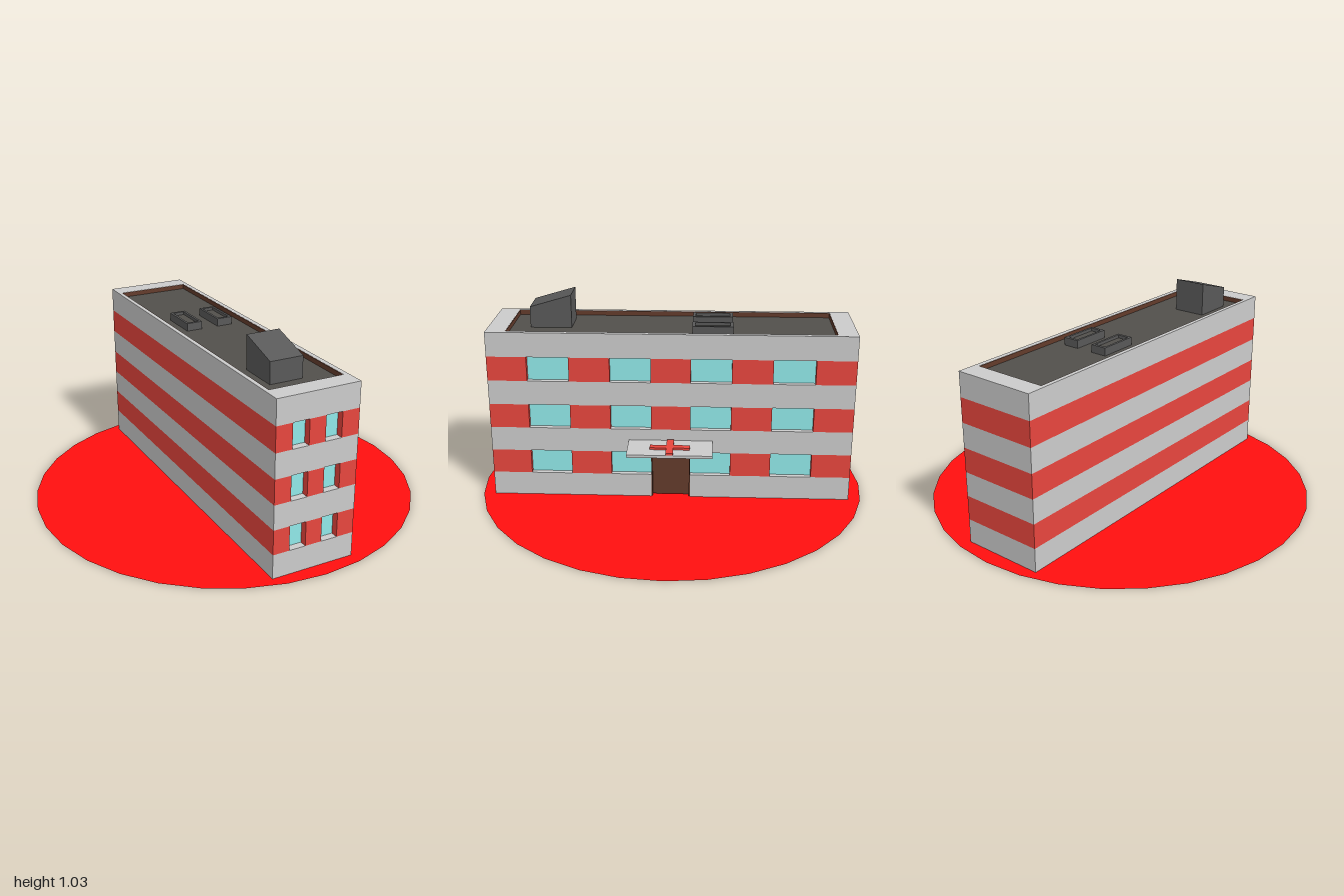
import * as THREE from 'three';

const paint = (color) => new THREE.MeshStandardMaterial({ color, flatShading: true });
const grey = paint(0xcccccc);
const red = paint(0xe8463e);
const glass = paint(0x91e9e9);
const brown = paint(0x633b2b);
const roofGrey = paint(0x52504b);
const ventGrey = paint(0x595959);
const groundRed = paint(0xff0f0f);
groundRed.side = THREE.DoubleSide;

// Outer walls, floor heights and recess depths
const X0 = -0.24, X1 = 0.19, Z = 0.92;
const BAND = 0.1264, TOP = 0.885;
const SIDE_D = 0.03, FRONT_D = 0.04;
const ROOF_Y = 0.86;

export function createModel() {
  const model = new THREE.Group();

  function add(name, geometry, material, parent = model) {
    const mesh = new THREE.Mesh(geometry, material);
    mesh.name = name;
    parent.add(mesh);
    return mesh;
  }

  // Box given by its limits on each axis
  function block(name, material, [xa, xb], [ya, yb], [za, zb], parent = model) {
    const g = new THREE.BoxGeometry(xb - xa, yb - ya, zb - za);
    g.translate((xa + xb) / 2, (ya + yb) / 2, (za + zb) / 2);
    return add(name, g, material, parent);
  }

  // Upright rectangular ring, open in the middle
  function ring(name, material, [xa, xb], [ya, yb], [za, zb], [ha, hb], [ka, kb], parent = model) {
    const rect = (path, a, b, c, d) =>
      path.moveTo(a, -d).lineTo(b, -d).lineTo(b, -c).lineTo(a, -c).closePath();
    const shape = rect(new THREE.Shape(), xa, xb, za, zb);
    shape.holes.push(rect(new THREE.Path(), ha, hb, ka, kb));
    const g = new THREE.ExtrudeGeometry(shape, { depth: yb - ya, bevelEnabled: false });
    g.rotateX(-Math.PI / 2).translate(0, ya, 0);
    return add(name, g, material, parent);
  }

  // Round ground plate
  add('ground', new THREE.CircleGeometry(1, 32).rotateX(-Math.PI / 2), groundRed);

  // Bottom band, split around the doorway
  block('baseCore', grey, [X0, X1 - SIDE_D], [0.002, BAND], [-Z, Z]);
  for (const [za, zb] of [[-Z, -0.1], [0.1, Z]])
    block('baseWall', grey, [X1 - SIDE_D, X1], [0.002, BAND], [za, zb]);

  // Grey bands between the storeys
  for (const i of [2, 4])
    block('greyBand', grey, [X0, X1], [i * BAND, (i + 1) * BAND], [-Z, Z]);

  // Red storeys: recessed core, wall piers and window panes
  const sideWindows = [[-0.72, -0.51], [-0.305, -0.1], [0.1, 0.305], [0.51, 0.72]];
  const frontWindows = [[-0.155, -0.07], [0.015, 0.1]];
  const gaps = (openings, a, b) => {
    const edges = [a, ...openings.flat(), b];
    return openings.concat([0]).map((_, i) => [edges[2 * i], edges[2 * i + 1]]);
  };
  for (let floor = 0; floor < 3; floor++) {
    const storey = new THREE.Group();
    storey.name = 'storey' + (floor + 1);
    model.add(storey);
    const y = [(2 * floor + 1) * BAND, (2 * floor + 2) * BAND];
    const xi = X1 - SIDE_D, zi = Z - FRONT_D;
    block('storeyCore', red, [X0, xi], y, [-Z, zi], storey);
    gaps(sideWindows, -Z, Z).forEach((z, i) => {
      if (floor === 0 && i === 2) return; // doorway
      block('sidePier', red, [xi, X1], y, z, storey);
    });
    for (const x of gaps(frontWindows, X0, xi))
      block('frontPier', red, x, y, [zi, Z], storey);
    for (const z of sideWindows)
      block('sideWindow', glass, [xi, xi + 0.003], y, z, storey);
    for (const x of frontWindows)
      block('frontWindow', glass, x, y, [zi, zi + 0.003], storey);
  }

  // Door with a slim frame
  const door = new THREE.Group();
  door.name = 'door';
  model.add(door);
  const dx = X1 - SIDE_D;
  block('doorLeaf', brown, [dx, dx + 0.008], [0.006, 0.248], [-0.094, 0.094], door);
  for (const s of [-0.097, 0.097])
    block('doorPost', brown, [dx, X1 - 0.001], [0.004, 2 * BAND], [s - 0.003, s + 0.003], door);
  block('doorHead', brown, [dx, X1 - 0.001], [0.247, 2 * BAND], [-0.094, 0.094], door);

  // Parapet band, its dark lining and the sunken roof
  const rx = [-0.22, 0.165], rz = [-0.82, 0.82];
  ring('parapet', grey, [X0, X1], [6 * BAND, TOP], [-Z, Z], rx, rz);
  ring('parapetLining', brown, rx, [ROOF_Y, TOP - 0.001], rz,
    [rx[0] + 0.003, rx[1] - 0.003], [rz[0] + 0.003, rz[1] - 0.003]);
  block('roof', roofGrey, rx, [6 * BAND, ROOF_Y], rz);

  // Two roof vents with sunken lids
  for (const x of [-0.155, 0.017]) {
    const vent = new THREE.Group();
    vent.name = 'roofVent';
    model.add(vent);
    const xs = [x, x + 0.083], zs = [-0.31, -0.105];
    const hx = [x + 0.012, x + 0.071], hz = [-0.295, -0.12];
    ring('ventFrame', ventGrey, xs, [ROOF_Y, 0.9], zs, hx, hz, vent);
    block('ventLid', roofGrey, hx, [ROOF_Y, 0.885], hz, vent);
  }

  // Stair house with a roof sloping down to the front
  const profile = new THREE.Shape()
    .moveTo(-0.72, ROOF_Y).lineTo(-0.51, ROOF_Y).lineTo(-0.51, 1.03).lineTo(-0.72, 0.968).closePath();
  const stair = new THREE.ExtrudeGeometry(profile, { depth: 0.17, bevelEnabled: false });
  stair.rotateY(Math.PI / 2).translate(-0.155, 0, 0);
  add('stairHouse', stair, ventGrey);

  // Entrance canopy with a raised cross
  block('canopy', grey, [X1, 0.375], [0.305, 0.32], [-0.213, 0.213]);
  const a = 0.018, arm = 0.085, len = 0.1;
  const cross = new THREE.Shape([
    [a, a], [a, len], [-a, len], [-a, a], [-arm, a], [-arm, -a],
    [-a, -a], [-a, -len], [a, -len], [a, -a], [arm, -a], [arm, a],
  ].map(([x, y]) => new THREE.Vector2(x, y)));
  const crossGeo = new THREE.ExtrudeGeometry(cross, { depth: 0.011, bevelEnabled: false });
  crossGeo.rotateX(-Math.PI / 2).translate(0.29, 0.32, 0);
  add('canopyCross', crossGeo, red);

  return model;
}
